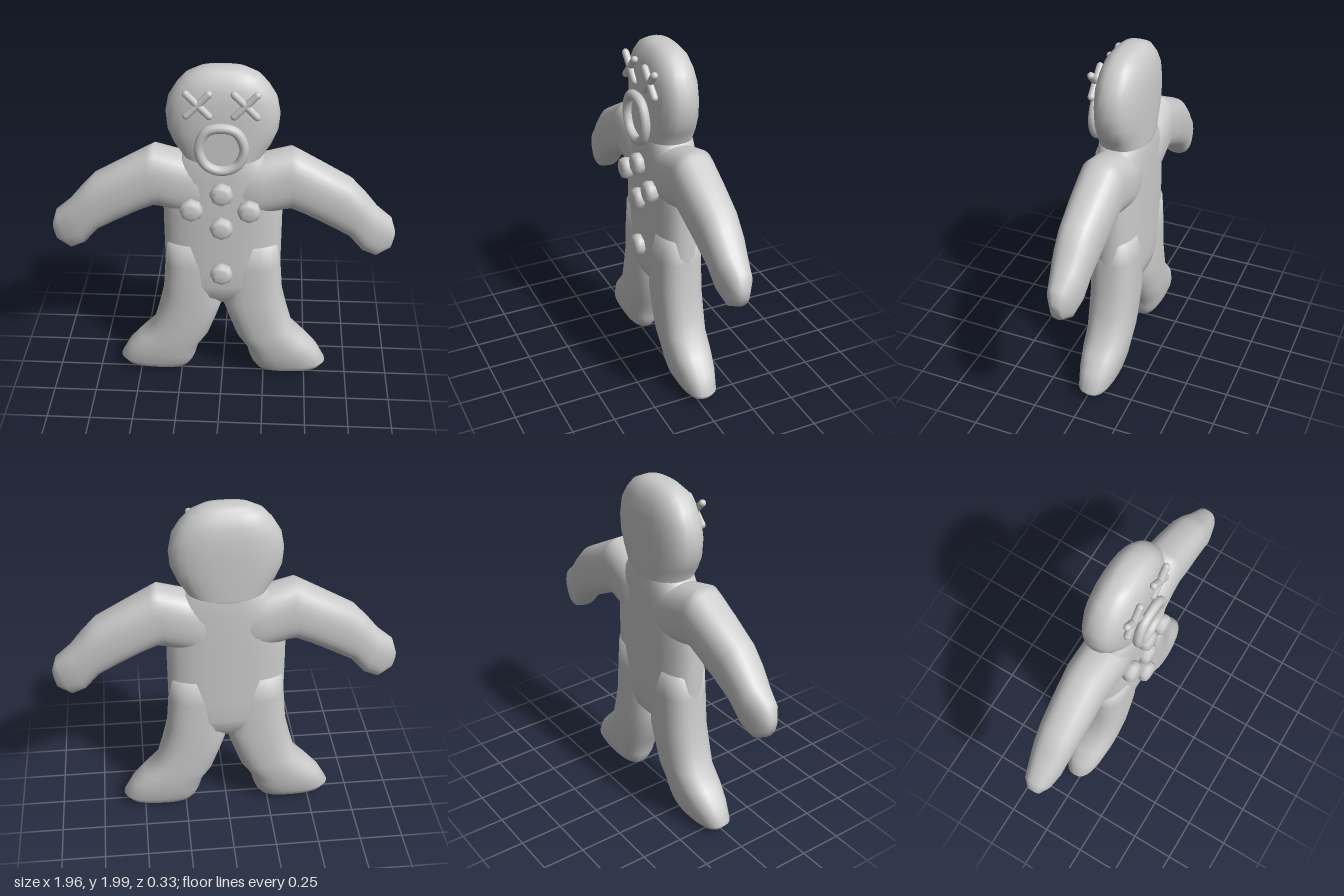
import * as THREE from 'three';

const MID_Z = -0.027; // centre plane of the flat body
const SIDES = 28;
const material = new THREE.MeshStandardMaterial({ color: 0xcccccc });

// Skins rounded cross-sections; each station is [ax, ay, bx, by, halfDepth],
// where a and b are the two outline points the section spans.
function loft(stations, mirror = 1) {
  const pos = [], index = [];
  const power = (v) => Math.sign(v) * Math.pow(Math.abs(v), 2 / 2.5);
  for (const [ax, ay, bx, by, depth] of stations) {
    for (let i = 0; i < SIDES; i++) {
      const t = (i / SIDES) * Math.PI * 2;
      const u = power(Math.cos(t)), w = power(Math.sin(t));
      pos.push(
        mirror * ((ax + bx) / 2 + u * (ax - bx) / 2),
        (ay + by) / 2 + u * (ay - by) / 2,
        MID_Z + w * depth);
    }
  }
  const rows = stations.length;
  for (let r = 0; r < rows - 1; r++) {
    for (let i = 0; i < SIDES; i++) {
      const a = r * SIDES + i, b = r * SIDES + (i + 1) % SIDES;
      index.push(a, b, b + SIDES, a, b + SIDES, a + SIDES);
    }
  }
  // End caps
  for (const r of [0, rows - 1]) {
    const [ax, ay, bx, by] = stations[r];
    const c = pos.length / 3;
    pos.push(mirror * (ax + bx) / 2, (ay + by) / 2, MID_Z);
    for (let i = 0; i < SIDES; i++) {
      const a = r * SIDES + i, b = r * SIDES + (i + 1) % SIDES;
      if (r === 0) index.push(c, b, a); else index.push(c, a, b);
    }
  }
  // Turn the faces outward if the enclosed volume is negative
  let volume = 0;
  const p = (i) => new THREE.Vector3().fromArray(pos, i * 3);
  for (let i = 0; i < index.length; i += 3) {
    volume += p(index[i]).dot(p(index[i + 1]).cross(p(index[i + 2])));
  }
  if (volume < 0) index.reverse();
  const geometry = new THREE.BufferGeometry();
  geometry.setAttribute('position', new THREE.Float32BufferAttribute(pos, 3));
  geometry.setIndex(index);
  geometry.computeVertexNormals();
  return geometry;
}

// Stations for a part symmetric about x = 0, from [y, halfWidth, halfDepth]
const level = (rows) => rows.map(([y, w, d]) => [w, y, -w, y, d]);

export function createModel() {
  const model = new THREE.Group();
  const add = (name, geometry, parent = model) => {
    const mesh = new THREE.Mesh(geometry, material);
    mesh.name = name;
    parent.add(mesh);
    return mesh;
  };

  add('head', loft(level([
    [2.0, 0.07, 0.035], [1.99, 0.13, 0.066], [1.955, 0.2, 0.098], [1.9, 0.25, 0.118],
    [1.83, 0.293, 0.13], [1.74, 0.31, 0.134], [1.65, 0.302, 0.134], [1.57, 0.268, 0.134],
    [1.49, 0.215, 0.134], [1.38, 0.2, 0.13]])));

  add('torso', loft(level([
    [1.53, 0.17, 0.12], [1.48, 0.23, 0.133], [1.38, 0.3, 0.136], [1.25, 0.335, 0.137],
    [1.1, 0.337, 0.137], [0.8, 0.335, 0.137], [0.68, 0.335, 0.135], [0.6, 0.25, 0.12],
    [0.53, 0.1, 0.06]])));

  const arm = [
    [0, 1.44, 0, 1.1, 0.13], [0.22, 1.485, 0.22, 1.13, 0.133], [0.38, 1.53, 0.34, 1.165, 0.127],
    [0.42, 1.508, 0.385, 1.172, 0.125], [0.55, 1.435, 0.47, 1.135, 0.122], [0.72, 1.34, 0.59, 1.07, 0.113],
    [0.8, 1.255, 0.715, 1.0, 0.104], [0.87, 1.17, 0.795, 0.905, 0.092],
    [0.955, 1.1, 0.875, 0.865, 0.07], [0.98, 1.02, 0.955, 0.91, 0.035]];

  const leg = [
    [0.325, 0.95, 0.02, 0.95, 0.125], [0.335, 0.8, 0, 0.8, 0.133], [0.35, 0.6, 0, 0.53, 0.135],
    [0.38, 0.475, 0.04, 0.41, 0.133], [0.415, 0.35, 0.085, 0.29, 0.13], [0.5, 0.265, 0.145, 0.2, 0.125],
    [0.57, 0.19, 0.165, 0.125, 0.116], [0.625, 0.09, 0.185, 0.075, 0.1],
    [0.59, 0.045, 0.215, 0.035, 0.078], [0.49, 0.02, 0.33, 0.01, 0.04]];

  for (const [side, s] of [['left', 1], ['right', -1]]) {
    add(side + 'Arm', loft(arm, s));
    add(side + 'Leg', loft(leg, s));

    // Crossed icing strokes for the eye
    const eye = new THREE.Group();
    eye.name = side + 'Eye';
    eye.position.set(s * 0.127, 1.833, 0.107);
    for (const tilt of [-1, 1]) {
      add('eyeStroke', new THREE.CapsuleGeometry(0.02, 0.172, 4, 10), eye).rotation.z = tilt * 0.77;
    }
    model.add(eye);
  }

  // Open mouth: an egg-shaped icing ring around a flat centre
  const ring = new THREE.CatmullRomCurve3(
    [[0, 1.46], [0.085, 1.495], [0.122, 1.59], [0.08, 1.69], [0, 1.713],
      [-0.08, 1.69], [-0.122, 1.59], [-0.085, 1.495]]
      .map(([x, y]) => new THREE.Vector3(x, y, 0.13)), true);
  add('mouthRing', new THREE.TubeGeometry(ring, 40, 0.027, 10, true));
  const mouth = add('mouthCentre', new THREE.CircleGeometry(0.115, 24));
  mouth.position.set(0, 1.587, 0.113);

  // Rounded octagonal buttons
  const profile = [[0.055, 0.09], [0.065, 0.11], [0.066, 0.133], [0.056, 0.152], [0.035, 0.16], [0, 0.162]]
    .map(([r, h]) => new THREE.Vector2(r, h));
  const buttonGeometry = new THREE.LatheGeometry(profile, 8).rotateX(Math.PI / 2);
  for (const [x, y] of [[0, 1.31], [0.153, 1.207], [-0.167, 1.207], [0, 1.093], [0, 0.79]]) {
    add('button', buttonGeometry).position.set(x, y, 0);
  }
  return model;
}
